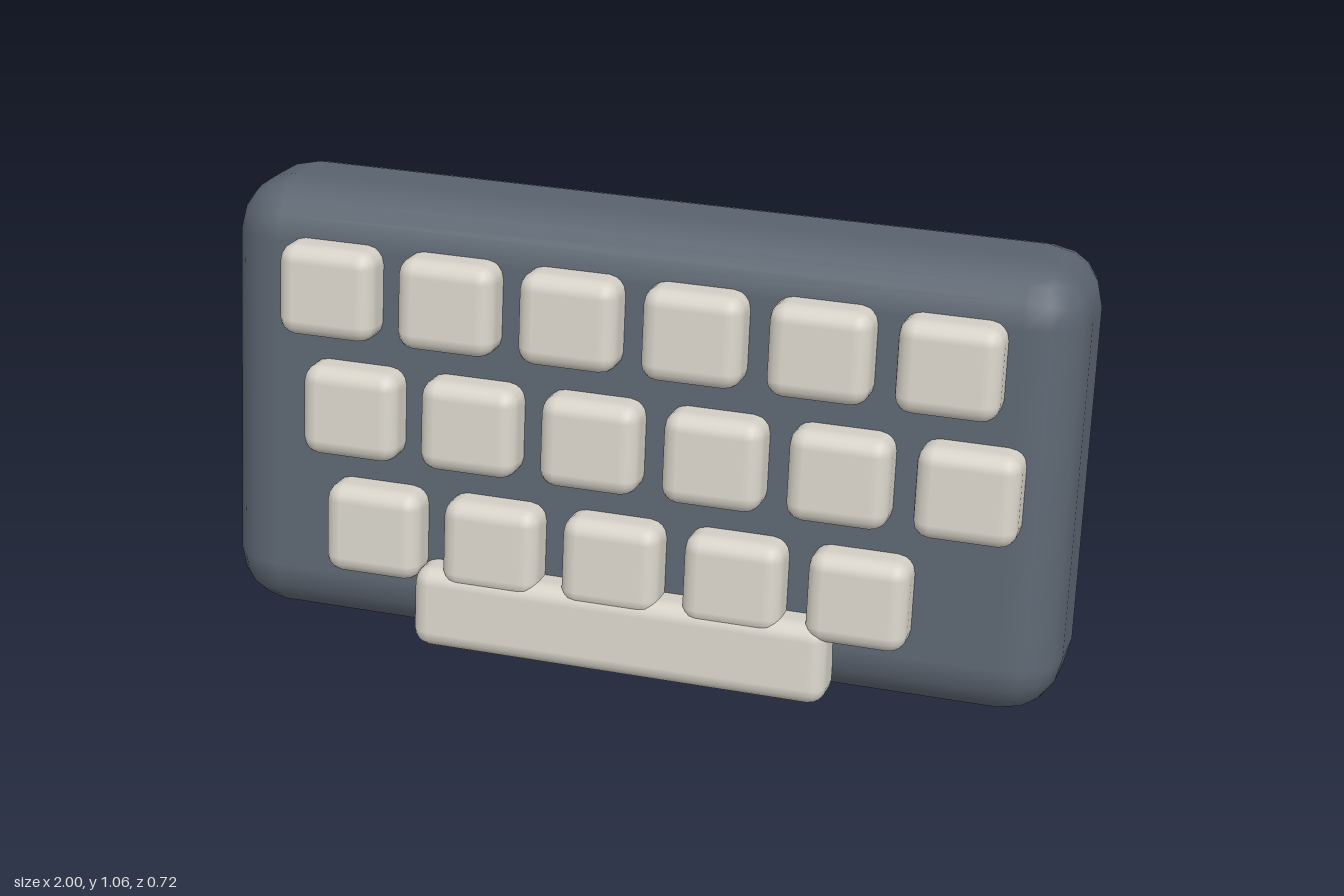
import * as THREE from 'three';
import { RoundedBoxGeometry } from 'three/addons/geometries/RoundedBoxGeometry.js';

export function createModel() {
  const slate = new THREE.MeshStandardMaterial({ color: 0x5b6470 });
  slate.name = 'slate grey';
  const ivory = new THREE.MeshStandardMaterial({ color: 0xd6d2c8 });
  ivory.name = 'ivory';

  const model = new THREE.Group();
  model.name = 'keyboard';

  // Tilted frame: leans back, then turns to its left
  const frame = new THREE.Group();
  frame.name = 'tiltedFrame';
  frame.rotation.set(THREE.MathUtils.degToRad(-8), THREE.MathUtils.degToRad(6), 0, 'YXZ');
  frame.position.set(0, 0.5275, -0.0275);
  model.add(frame);

  const addPart = (name, geometry, material, x, y, z) => {
    const mesh = new THREE.Mesh(geometry, material);
    mesh.name = name;
    mesh.position.set(x, y, z);
    frame.add(mesh);
  };

  // Case
  addPart('case', new RoundedBoxGeometry(1.988, 1.05, 0.388, 2, 0.13), slate, 0, 0, 0);

  // Three staggered rows of keys
  const keyDepth = 0.13, keyZ = 0.209, pitch = 0.287;
  const keyGeometry = new RoundedBoxGeometry(0.232, 0.215, keyDepth, 2, 0.04);
  [6, 6, 5].forEach((count, row) => {
    for (let i = 0; i < count; i++) {
      addPart(`keyRow${row + 1}Number${i + 1}`, keyGeometry, ivory,
        -0.716 + 0.06 * row + pitch * i, 0.302 - 0.28 * row, keyZ);
    }
  });

  // Long key at the bottom
  addPart('spaceBar', new RoundedBoxGeometry(0.985, 0.195, keyDepth, 2, 0.04), ivory, 0, -0.421, keyZ);

  return model;
}
